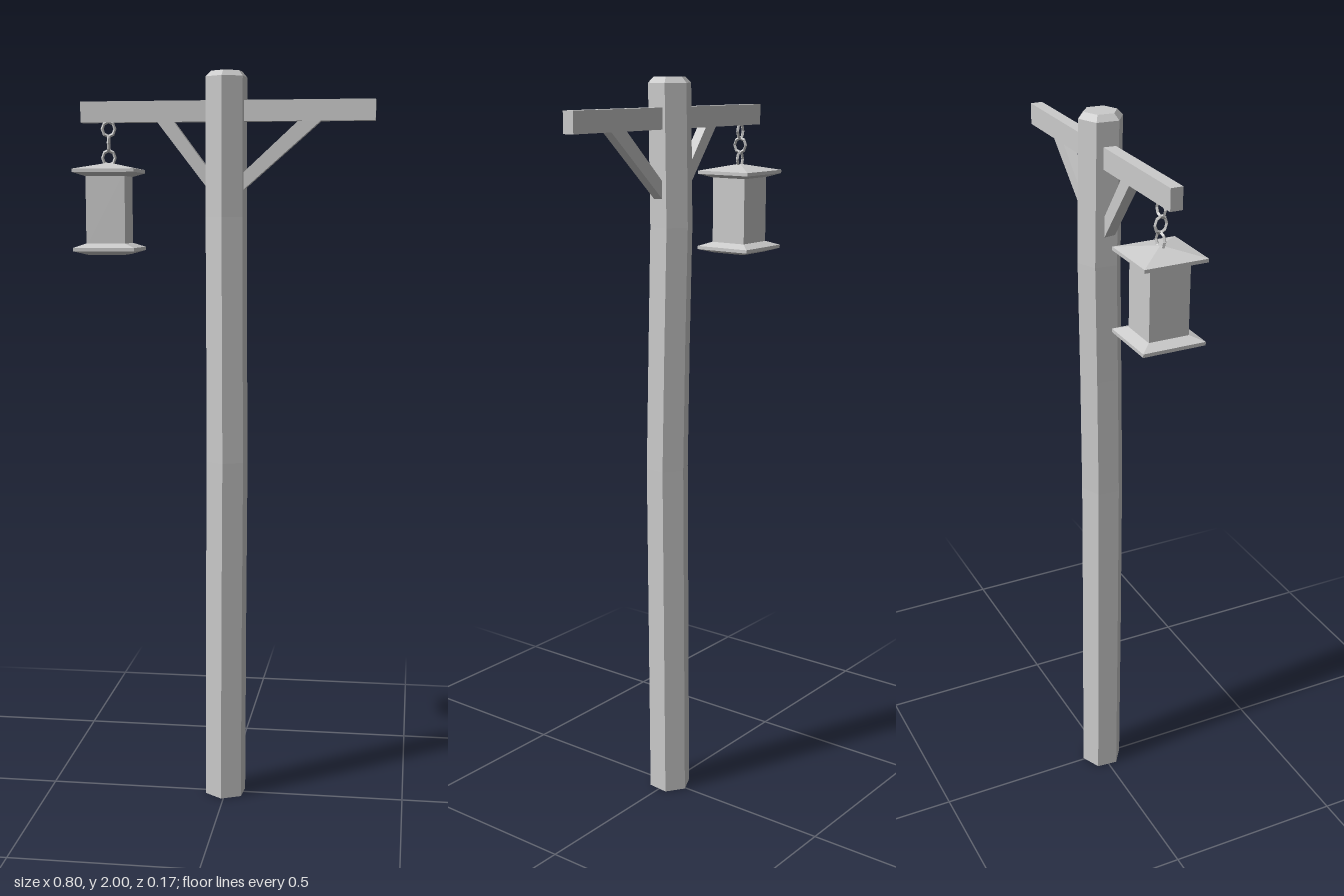
import * as THREE from 'three';

const material = new THREE.MeshStandardMaterial({ color: 0xcccccc, flatShading: true, side: THREE.DoubleSide });

function add(parent, geometry, name, x = 0, y = 0, z = 0) {
  const mesh = new THREE.Mesh(geometry, material);
  mesh.name = name;
  mesh.position.set(x, y, z);
  parent.add(mesh);
  return mesh;
}

// Solid lofted through regular polygon rings given as [y, radius, centreX, centreZ]
function loft(rings, sides, turn) {
  const positions = [], index = [];
  for (const [y, r, cx = 0, cz = 0] of rings) {
    for (let i = 0; i < sides; i++) {
      const a = turn + (i / sides) * Math.PI * 2;
      positions.push(cx + r * Math.sin(a), y, cz + r * Math.cos(a));
    }
  }
  for (let k = 0; k < rings.length - 1; k++) {
    for (let i = 0; i < sides; i++) {
      const a = k * sides + i, b = k * sides + (i + 1) % sides;
      index.push(a, b, b + sides, a, b + sides, a + sides);
    }
  }
  const top = (rings.length - 1) * sides;
  for (let i = 1; i < sides - 1; i++) {
    index.push(0, i + 1, i, top, top + i, top + i + 1);
  }
  const geometry = new THREE.BufferGeometry();
  geometry.setAttribute('position', new THREE.Float32BufferAttribute(positions, 3));
  geometry.setIndex(index);
  geometry.computeVertexNormals();
  return geometry;
}

// Diagonal strut: outline in the xy plane, given a small thickness
function strut(points) {
  const shape = new THREE.Shape(points.map(([x, y]) => new THREE.Vector2(x, y)));
  return new THREE.ExtrudeGeometry(shape, { depth: 0.028, bevelEnabled: false }).translate(0, 0, -0.015);
}

export function createModel() {
  const model = new THREE.Group();
  model.name = 'lanternPost';

  // Slightly bowed six-sided post with a chamfered top
  add(model, loft([
    [0, 0.059, -0.001, 0],
    [0.5, 0.059, 0.001, 0.003],
    [0.96, 0.059, 0.004, 0.005],
    [1.3, 0.058, 0.002, 0],
    [1.62, 0.058, 0, -0.006],
    [1.985, 0.058, 0.001, -0.001],
    [2, 0.043, 0.002, -0.001],
  ], 6, -0.09), 'post');

  // Crossbar and its two uneven braces
  add(model, new THREE.BoxGeometry(0.786, 0.055, 0.032), 'crossbar', 0.002, 1.897, -0.001);
  add(model, strut([[-0.185, 1.872], [-0.04, 1.685], [-0.04, 1.738], [-0.14, 1.872]]), 'rightBrace');
  add(model, strut([[0.255, 1.872], [0.04, 1.685], [0.04, 1.73], [0.195, 1.872]]), 'leftBrace');

  // Hanging lantern
  const lantern = new THREE.Group();
  lantern.name = 'lantern';
  lantern.position.set(-0.318, 0, -0.001);
  model.add(lantern);

  const square = (half) => half * Math.SQRT2;
  const turn = Math.PI / 4;
  add(lantern, new THREE.BoxGeometry(0.106, 0.2, 0.106), 'lanternBody', 0, 1.638, 0);
  add(lantern, loft([
    [1.728, square(0.054)], [1.738, square(0.083)], [1.747, square(0.083)], [1.764, square(0.004)],
  ], 4, turn), 'lanternRoof');
  add(lantern, loft([
    [1.52, square(0.05)], [1.53, square(0.083)], [1.539, square(0.083)], [1.55, square(0.054)],
  ], 4, turn), 'lanternBase');

  // Chain links, each turned a quarter from the last
  for (let i = 0; i < 3; i++) {
    const link = add(lantern, new THREE.TorusGeometry(0.017, 0.0042, 4, 8), 'chainLink', 0, 1.777 + i * 0.038, 0);
    link.scale.y = 1.15;
    link.rotation.y = (i % 2) * Math.PI / 2 + 0.15;
  }

  return model;
}
